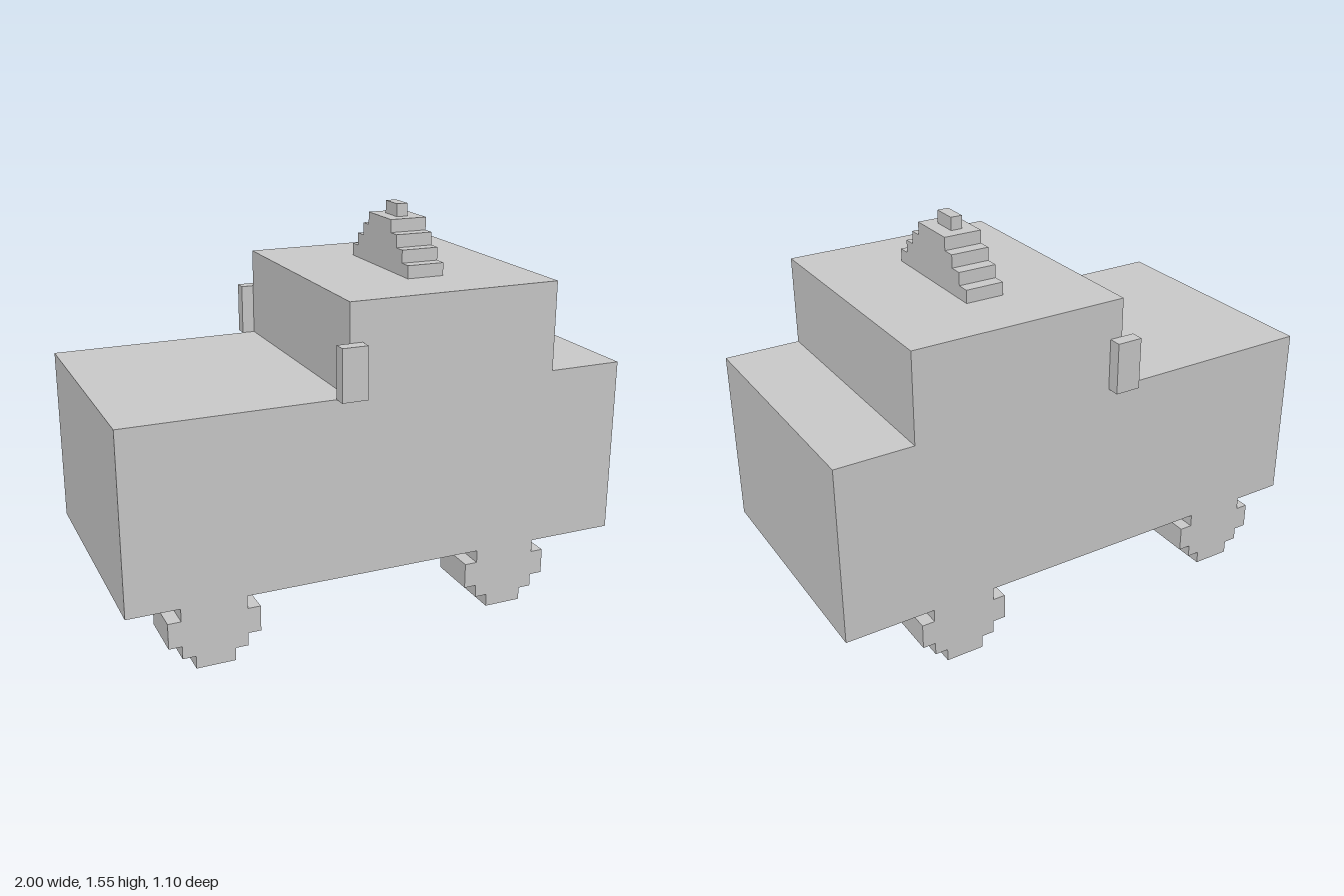
import * as THREE from 'three';

const material = new THREE.MeshStandardMaterial({ color: 0xcccccc, flatShading: true });

// Extrude an outline along z, centred on z = 0
function extrude(name, points, depth) {
  const shape = new THREE.Shape(points.map(([x, y]) => new THREE.Vector2(x, y)));
  const geometry = new THREE.ExtrudeGeometry(shape, { depth, bevelEnabled: false });
  geometry.translate(0, 0, -depth / 2);
  const mesh = new THREE.Mesh(geometry, material);
  mesh.name = name;
  return mesh;
}

// Symmetric stepped outline from [bottom, top, halfWidth] layers
function stepped(layers) {
  const right = layers.flatMap(([y0, y1, w]) => [[w, y0], [w, y1]]);
  const left = right.map(([x, y]) => [-x, y]).reverse();
  return [...right, ...left];
}

export function createModel() {
  const car = new THREE.Group();
  car.name = 'car';

  // Hull and cabin share one side outline
  car.add(extrude('body', [
    [-1, 0.25], [1, 0.25], [1, 0.95], [0.7, 0.95],
    [0.7, 1.3], [-0.15, 1.3], [-0.15, 0.95], [-1, 0.95],
  ], 1));

  // Blocky wheels, flush with the sides
  const wheelOutline = stepped([
    [0, 0.05, 0.075], [0.05, 0.1, 0.125], [0.1, 0.2, 0.175], [0.2, 0.25, 0.125],
  ]);
  for (const [end, x] of [['rear', 0.525], ['front', -0.675]]) {
    for (const side of [1, -1]) {
      const wheel = extrude(end + 'Wheel', wheelOutline, 0.2);
      wheel.position.set(x, 0, side * 0.4);
      car.add(wheel);
    }
  }

  // Side mirrors
  for (const side of [1, -1]) {
    const mirror = new THREE.Mesh(new THREE.BoxGeometry(0.1, 0.2, 0.05), material);
    mirror.name = 'sideMirror';
    mirror.position.set(-0.15, 1.05, side * 0.525);
    car.add(mirror);
  }

  // Stepped roof sign running across the cabin
  const sign = extrude('roofSign', stepped([
    [1.3, 1.35, 0.25], [1.35, 1.4, 0.2], [1.4, 1.45, 0.15], [1.45, 1.5, 0.1],
  ]), 0.15);
  sign.rotation.y = Math.PI / 2;
  sign.position.x = 0.275;
  car.add(sign);

  // Small block on top of the sign
  const cap = new THREE.Mesh(new THREE.BoxGeometry(0.045, 0.05, 0.1), material);
  cap.name = 'roofSignCap';
  cap.position.set(0.2725, 1.525, 0);
  car.add(cap);

  return car;
}
